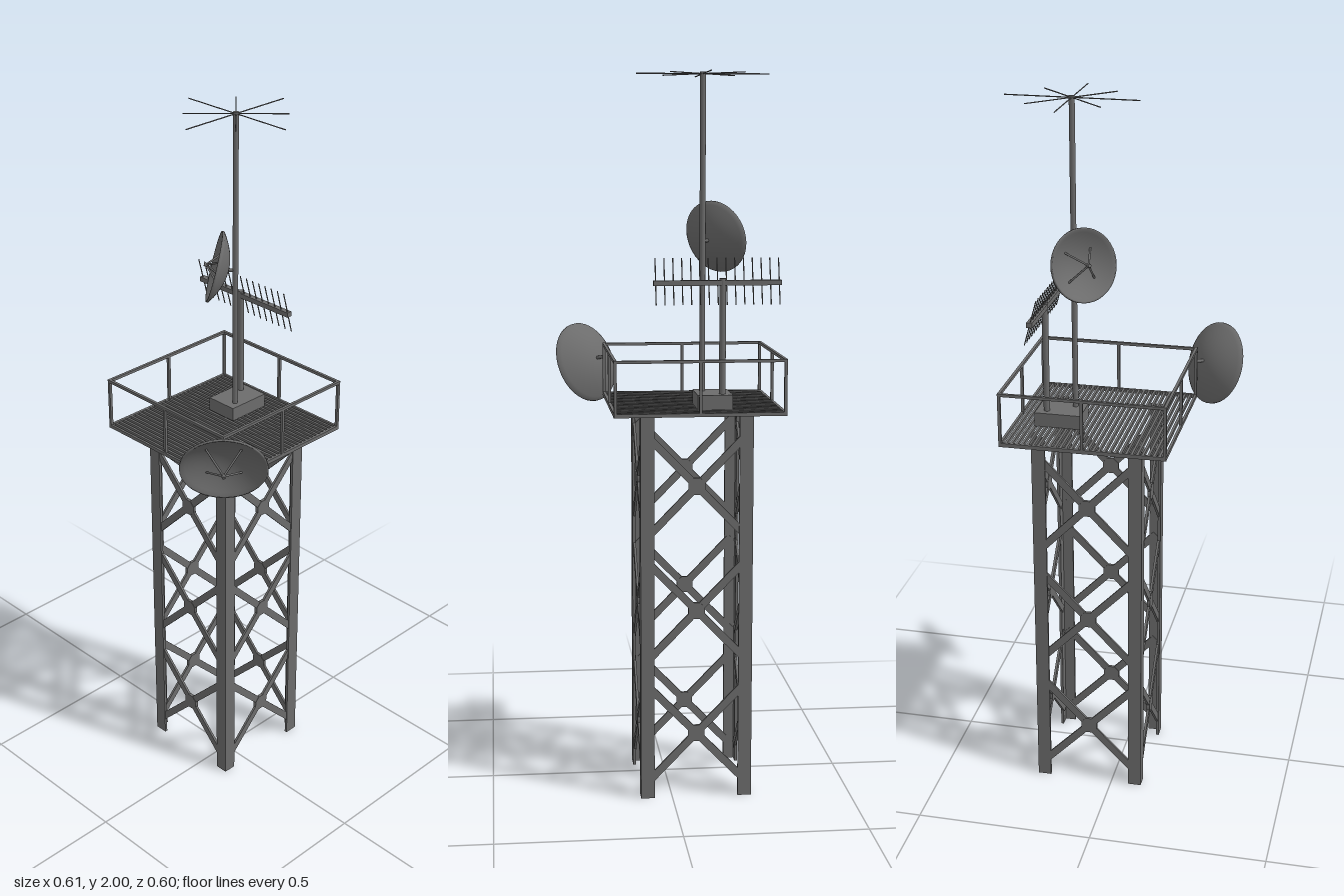
import * as THREE from 'three';

const grey = new THREE.MeshStandardMaterial({ color: 0x6c6c6c });
const V = (x, y, z) => new THREE.Vector3(x, y, z);
const UP = V(0, 1, 0);

function add(parent, name, geometry, x = 0, y = 0, z = 0) {
  const m = new THREE.Mesh(geometry, grey);
  m.name = name;
  m.position.set(x, y, z);
  parent.add(m);
  return m;
}
const box = (parent, name, w, h, d, x, y, z) =>
  add(parent, name, new THREE.BoxGeometry(w, h, d), x, y, z);

// round bar between two points
function rod(parent, name, a, b, r, sides = 8) {
  const d = b.clone().sub(a);
  const m = add(parent, name, new THREE.CylinderGeometry(r, r, d.length(), sides));
  m.position.copy(a).addScaledVector(d, 0.5);
  m.quaternion.setFromUnitVectors(UP, d.normalize());
  return m;
}

function group(parent, name, x = 0, y = 0, z = 0) {
  const g = new THREE.Group();
  g.name = name;
  g.position.set(x, y, z);
  parent.add(g);
  return g;
}

// lattice tower: four angle-section legs and crossed braces on each side
function buildTower(root) {
  const tower = group(root, 'tower', 0.066, 0, -0.067);
  const half = 0.155, flange = 0.038, t = 0.008, height = 1.09;
  const angle = new THREE.Shape([
    [0, 0], [flange, 0], [flange, t], [t, t], [t, flange], [0, flange],
  ].map(([x, y]) => new THREE.Vector2(x, y)));
  const legGeo = new THREE.ExtrudeGeometry(angle, { depth: height, bevelEnabled: false });
  legGeo.rotateX(-Math.PI / 2);
  legGeo.translate(-half, 0, half);

  for (let side = 0; side < 4; side++) {
    const face = group(tower, 'towerSide');
    face.rotation.y = side * Math.PI / 2;
    add(face, 'leg', legGeo);
    for (const y of [0.185, 0.537, 0.887]) {
      for (const s of [-1, 1]) {
        const brace = box(face, 'brace', 0.39, 0.021, 0.007, 0, y, half - 0.006);
        brace.rotation.z = s * 0.8;
      }
      const plate = add(face, 'gussetPlate', new THREE.CylinderGeometry(0.025, 0.025, 0.009, 8),
        0, y, half - 0.006);
      plate.rotation.set(Math.PI / 2, Math.PI / 8, 0);
    }
  }
}

// slatted deck with a railing all round
function buildPlatform(root) {
  const deck = group(root, 'platform', 0.059, 1.094, -0.0685);
  const hx = 0.23, hz = 0.233, count = 31, w = 0.007;
  for (let i = 0; i < count; i++) {
    const x = -hx + w / 2 + i * (2 * hx - w) / (count - 1);
    box(deck, 'slat', w, 0.01, 2 * hz, x, 0, 0);
  }
  for (const s of [-1, 1]) {
    box(deck, 'deckEdge', 2 * hx, 0.011, 0.008, 0, 0, s * (hz - 0.004));
    box(deck, 'topRail', 2 * hx, 0.008, 0.008, 0, 0.144, s * (hz - 0.004));
    box(deck, 'topRail', 0.008, 0.008, 2 * hz, s * (hx - 0.004), 0.144, 0);
  }
  for (const i of [-1, 0, 1]) for (const k of [-1, 0, 1]) {
    if (i || k) box(deck, 'railPost', 0.008, 0.148, 0.008, i * (hx - 0.004), 0.072, k * (hz - 0.004));
  }
}

// parabolic dish facing along dir, rim centred on the given point
function buildDish(root, name, center, heading, tilt, R, depth) {
  const dir = V(heading[0] * Math.cos(tilt), Math.sin(tilt), heading[1] * Math.cos(tilt));
  const right = V().crossVectors(UP, dir).normalize();
  const up = V().crossVectors(dir, right);
  const dish = group(root, name);
  dish.position.copy(center);
  // local y is the viewing axis, local -z points up
  dish.quaternion.setFromRotationMatrix(new THREE.Matrix4().makeBasis(right, dir, up.clone().negate()));

  const skin = 0.004, outer = [], inner = [];
  for (let i = 0; i <= 12; i++) {
    const r = i / 12;
    outer.push(new THREE.Vector2(R * r, -depth + (depth - 0.006) * r * r));
    inner.unshift(new THREE.Vector2((R - skin) * r, -depth + skin + (depth - skin) * r * r));
  }
  add(dish, 'reflector', new THREE.LatheGeometry([...outer, new THREE.Vector2(R, 0), ...inner], 40));

  // feed horn on four struts
  const focus = V(0, 0.022, 0);
  for (let i = 0; i < 4; i++) {
    const a = Math.PI / 4 + i * Math.PI / 2, r = R * 0.57;
    rod(dish, 'feedStrut', V(r * Math.cos(a), -depth * 0.63, -r * Math.sin(a)), focus, 0.003, 6);
  }
  add(dish, 'feedHorn', new THREE.CylinderGeometry(0.005, 0.006, 0.012, 12), 0, 0.022, 0);
  return center.clone().addScaledVector(dir, -depth);
}

export function createModel() {
  const root = new THREE.Group();
  root.name = 'antennaTower';
  buildTower(root);
  buildPlatform(root);

  // equipment box carrying both poles
  box(root, 'equipmentBox', 0.13, 0.04, 0.096, 0.16, 1.118, -0.116);

  // tall mast with a crown of radial wires
  const mx = 0.126, mz = -0.091;
  rod(root, 'mast', V(mx, 1.1, mz), V(mx, 2, mz), 0.008, 12);
  const crown = group(root, 'radialWires', mx, 1.995, mz);
  for (let i = 0; i < 8; i++) {
    const a = i * Math.PI / 4, r = i % 2 ? 0.14 : 0.18;
    rod(crown, 'wire', V(0, 0, 0), V(r * Math.cos(a), 0, r * Math.sin(a)), 0.0016, 6);
  }

  // two dishes with their mounting stubs
  const q = Math.SQRT1_2;
  const upper = buildDish(root, 'mastDish', V(0.086, 1.56, -0.135), [-q, -q], 0.245, 0.1, 0.042);
  rod(root, 'mastDishMount', upper, V(mx, 1.55, mz), 0.005);
  const lower = buildDish(root, 'cornerDish', V(-0.217, 1.18, 0.212), [-q, q], -0.35, 0.118, 0.05);
  rod(root, 'cornerDishMount', lower, V(-0.167, 1.202, 0.16), 0.005);

  // comb antenna: pole, boom and tilted elements
  const yagi = group(root, 'combAntenna', 0.196, 1.44, -0.124);
  rod(yagi, 'pole', V(0, -0.32, -0.014), V(0, 0.012, -0.014), 0.009, 12);
  box(yagi, 'boom', 0.016, 0.014, 0.348, 0, 0, 0);
  for (let i = 0; i < 15; i++) {
    const z = -0.168 + i * 0.024;
    rod(yagi, 'element', V(-0.018, 0.066, z), V(0.016, -0.058, z), 0.0016, 6);
  }
  return root;
}
